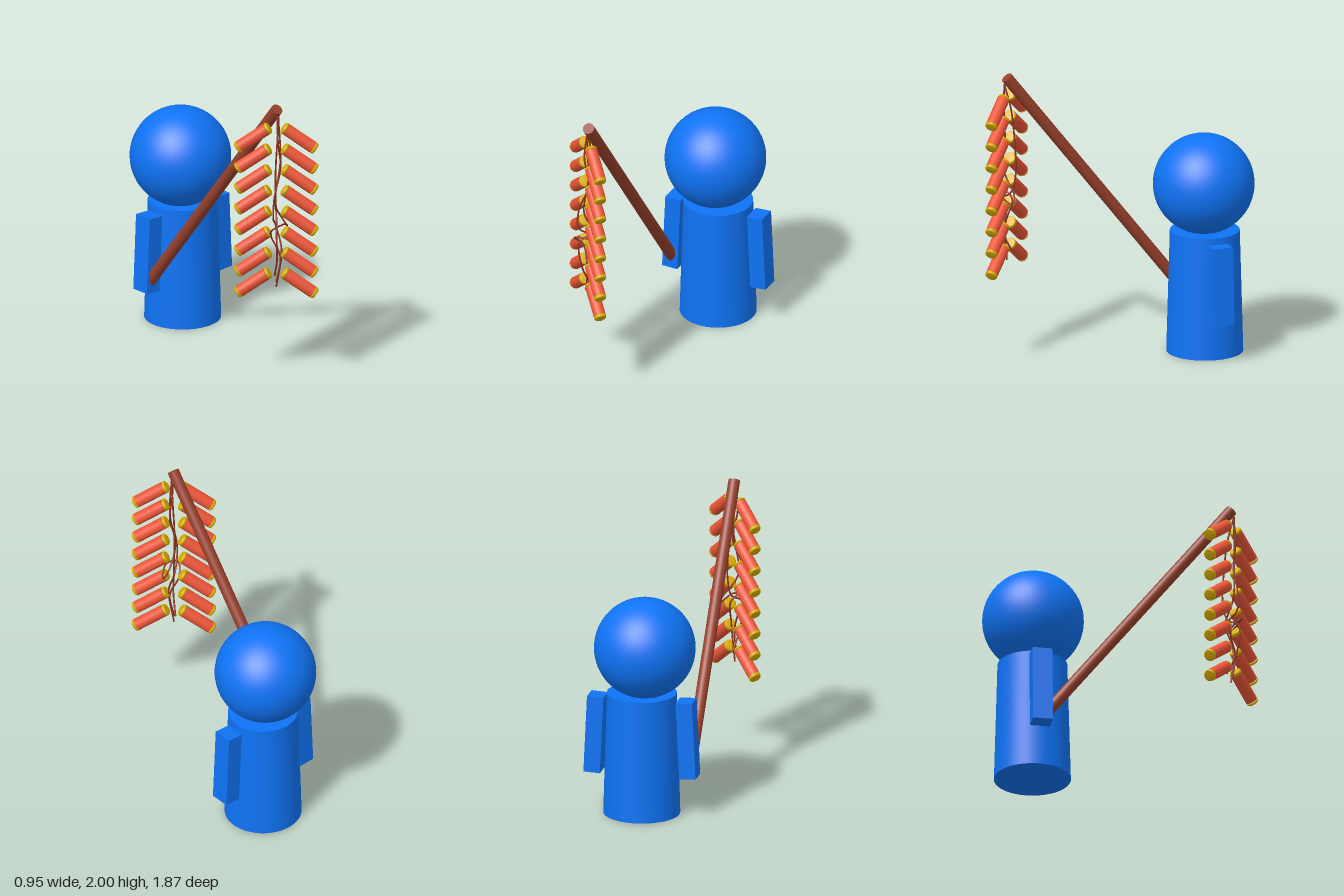
import * as THREE from 'three';

const V = (x, y, z) => new THREE.Vector3(x, y, z);
const mat = (color) => new THREE.MeshStandardMaterial({ color });

export function createModel() {
  const model = new THREE.Group();
  const blue = mat(0x0f73f5), wood = mat(0x97402c), red = mat(0xee5638);
  const yellow = mat(0xdcae00), cord = mat(0x8f3420);

  const add = (parent, name, geometry, material, position) => {
    const mesh = new THREE.Mesh(geometry, material);
    mesh.name = name;
    if (position) mesh.position.copy(position);
    parent.add(mesh);
    return mesh;
  };

  // Figure: tapered body, round head, two splayed arms
  const figure = new THREE.Group();
  figure.name = 'figure';
  figure.position.set(0.083, 0, -0.597);
  model.add(figure);
  add(figure, 'body', new THREE.CylinderGeometry(0.238, 0.262, 0.855, 48), blue, V(0, 0.4275, 0));
  add(figure, 'head', new THREE.SphereGeometry(0.346, 48, 32), blue, V(-0.021, 1.175, 0));
  for (const side of [-1, 1]) {
    const arm = add(figure, side > 0 ? 'leftArm' : 'rightArm',
      new THREE.BoxGeometry(0.115, 0.54, 0.138), blue, V(side * 0.322, 0.547, 0));
    arm.rotation.z = side * 0.046;
  }

  // Pole held out from the right hand
  const poleTop = V(-0.25, 1.975, 0.715), poleEnd = V(-0.25, 0.35, -0.563);
  const poleDir = poleTop.clone().sub(poleEnd);
  const pole = add(model, 'pole', new THREE.CylinderGeometry(0.04, 0.04, poleDir.length(), 32),
    wood, poleTop.clone().add(poleEnd).multiplyScalar(0.5));
  pole.quaternion.setFromUnitVectors(V(0, 1, 0), poleDir.normalize());

  // Firecrackers: eight pairs, each a red tube with rounded yellow ends
  const length = 0.27, r = 0.042, capLength = 0.024;
  const tube = new THREE.CylinderGeometry(r, r, length - 2 * capLength, 24);
  const cap = new THREE.LatheGeometry([
    [0, 0], [r, 0], [r, 0.013], [r * 0.93, 0.02], [r * 0.8, capLength], [0, capLength],
  ].map(([x, y]) => new THREE.Vector2(x, y)), 24);
  const string = new THREE.Group();
  string.name = 'firecrackerString';
  string.position.set(-0.255, 0, 0.713);
  model.add(string);
  for (let i = 0; i < 8; i++) {
    for (const side of [-1, 1]) {
      const y = 1.845 - i * 0.151;
      const inner = V(side * 0.035, y, side * 0.032);
      const outer = V(side * 0.19, y - 0.155, side * 0.188);
      const cracker = new THREE.Group();
      cracker.name = 'firecracker';
      cracker.position.copy(inner).add(outer).multiplyScalar(0.5);
      cracker.quaternion.setFromUnitVectors(V(0, 1, 0), inner.clone().sub(outer).normalize());
      string.add(cracker);
      add(cracker, 'tube', tube, red);
      for (const end of [-1, 1]) {
        const c = add(cracker, 'endCap', cap, yellow, V(0, end * (length / 2 - capLength), 0));
        if (end < 0) c.rotation.x = Math.PI;
      }
    }
  }

  // Thin cords hanging from the pole tip, wandering and looping halfway down
  const cords = [
    [[0, 1.95, 0.01], [-0.012, 1.75, 0.03], [0.02, 1.55, 0.02], [-0.05, 1.35, 0.035],
      [-0.055, 1.2, 0.03], [0.02, 1.12, -0.03], [0.03, 0.95, 0.02], [0, 0.68, 0]],
    [[0.005, 1.93, 0.02], [0.03, 1.75, -0.02], [0.035, 1.5, -0.045], [0.04, 1.3, -0.05],
      [0.02, 1.16, -0.02], [-0.04, 1.1, 0.045], [-0.025, 0.9, 0.035], [0.012, 0.75, -0.03]],
    [[0, 1.93, 0.02], [0.015, 1.6, 0.025], [-0.02, 1.3, 0.01], [0.08, 1.15, -0.025],
      [0.1, 1.1, 0.0], [0.02, 1.15, 0.06], [-0.08, 1.13, 0.05], [-0.04, 1.06, -0.01],
      [0.01, 0.9, 0.03], [-0.01, 0.72, 0.01]],
  ];
  for (const points of cords) {
    const path = new THREE.CatmullRomCurve3(points.map((p) => V(...p)));
    add(string, 'cord', new THREE.TubeGeometry(path, 90, 0.006, 8), cord);
  }

  return model;
}
